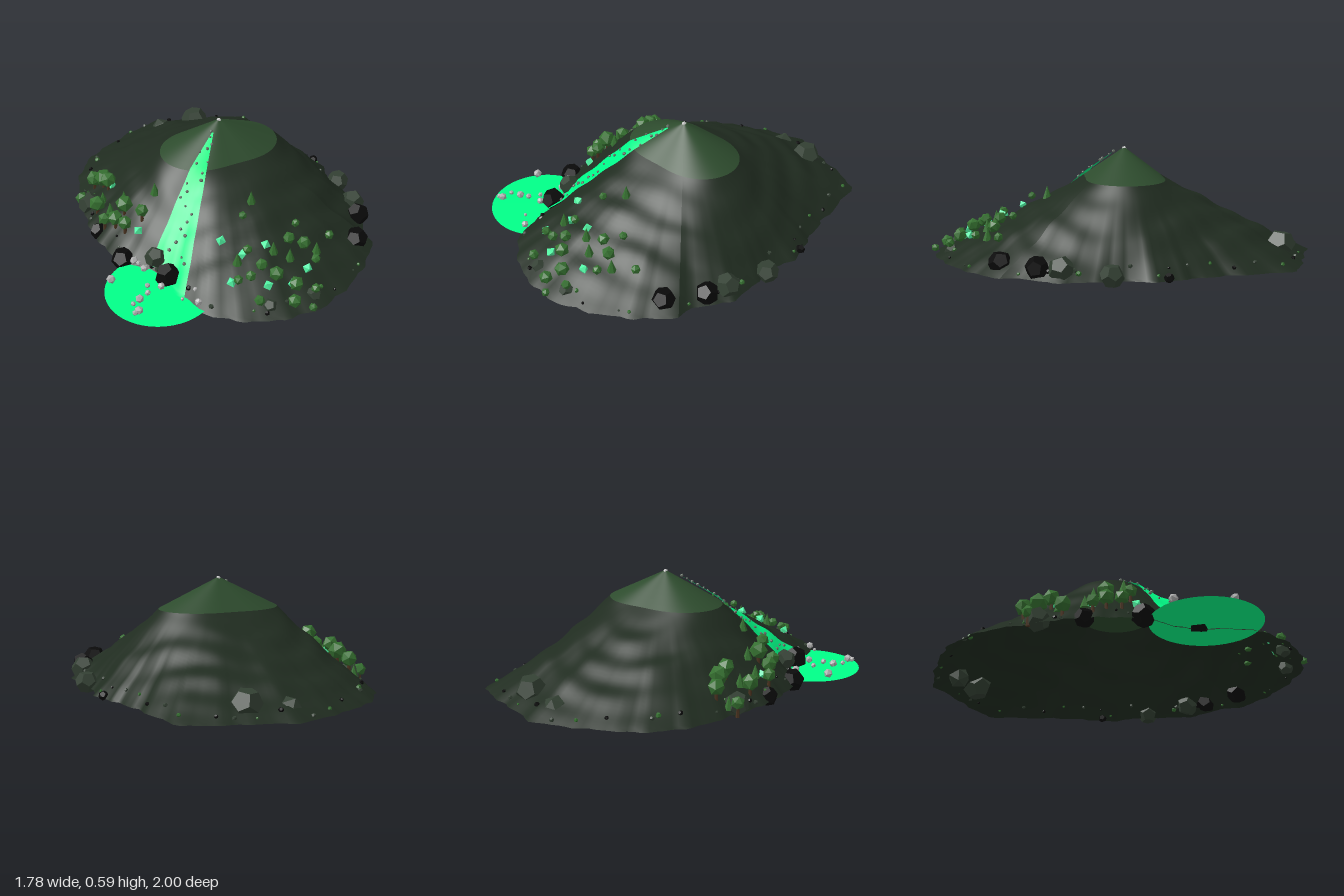
import * as THREE from 'three';

const BASE = 0.045, CAP = 0.44, PEAK = 0.6, CZ = -0.055;

// Foot of the hill, as [x, z]
const FOOT = [[-0.22, -1], [-0.09, -0.92], [0.09, -0.8], [0.24, -0.72], [0.43, -0.63], [0.48, -0.53], [0.61, -0.43],
  [0.75, -0.31], [0.79, -0.13], [0.87, -0.05], [0.88, 0.2], [0.84, 0.4], [0.77, 0.57], [0.68, 0.66], [0.56, 0.75],
  [0.3, 0.81], [0.14, 0.75], [0.04, 0.66], [-0.08, 0.61], [-0.26, 0.6], [-0.44, 0.5], [-0.6, 0.35], [-0.71, 0.2],
  [-0.84, 0], [-0.88, -0.24], [-0.84, -0.39], [-0.79, -0.55], [-0.68, -0.77], [-0.58, -0.8], [-0.39, -0.92]];

// Radius of a closed outline as a function of the angle around the peak
function radial(points) {
  const polar = points.map(([x, z]) => [Math.atan2(z - CZ, x), Math.hypot(x, z - CZ)]).sort((a, b) => a[0] - b[0]);
  const first = polar[0], last = polar[polar.length - 1];
  polar.unshift([last[0] - 2 * Math.PI, last[1]]);
  polar.push([first[0] + 2 * Math.PI, first[1]]);
  return (angle) => {
    const a = Math.atan2(Math.sin(angle), Math.cos(angle));
    let i = 1;
    while (i < polar.length - 1 && polar[i][0] < a) i++;
    const [a0, r0] = polar[i - 1], [a1, r1] = polar[i];
    return THREE.MathUtils.lerp(r0, r1, (a - a0) / (a1 - a0));
  };
}
const footRadius = radial(FOOT);
const footAt = (a) => footRadius(a) * (1 + 0.007 * Math.sin(31 * a) + 0.005 * Math.sin(53 * a + 1));
const softFoot = (a) => [-0.24, -0.12, 0, 0.12, 0.24].reduce((sum, d) => sum + footRadius(a + d) / 5, 0);
const summitRadius = (a) => 0.265 + 0.06 * Math.cos(2 * (a + 0.85));

// Height of the hillside at any point
function heightAt(x, z) {
  const a = Math.atan2(z - CZ, x), r = Math.hypot(x, z - CZ), r1 = summitRadius(a);
  if (r < r1) return PEAK - (PEAK - CAP) * (r / r1);
  const t = Math.min(1, (r - r1) / (footAt(a) - r1));
  const s = Math.min(1, (r - r1) / (THREE.MathUtils.lerp(softFoot(a), footAt(a), t) - r1));
  const bumps = Math.sin(17 * x + 5 * z) * Math.sin(14 * z - 6 * x) + 0.7 * Math.sin(38 * r + 2 * Math.sin(3 * a));
  return CAP - (CAP - BASE) * s + 0.008 * bumps * Math.sin(Math.PI * t);
}

const material = (color, flatShading = true, side = THREE.FrontSide) =>
  new THREE.MeshStandardMaterial({ color, flatShading, side });

// Grid surface from a function (u, v) -> [x, y, z]
function gridSurface(rows, cols, pointAt) {
  const pos = [], idx = [], w = cols + 1;
  for (let i = 0; i <= rows; i++) {
    for (let j = 0; j <= cols; j++) {
      pos.push(...pointAt(i / rows, j / cols));
      if (i < rows && j < cols) {
        const k = i * w + j;
        idx.push(k, k + 1, k + w, k + 1, k + w + 1, k + w);
      }
    }
  }
  const g = new THREE.BufferGeometry();
  g.setAttribute('position', new THREE.Float32BufferAttribute(pos, 3));
  g.setIndex(idx);
  g.computeVertexNormals();
  return g;
}

let seed = 7;
const rand = () => (seed = (seed * 16807) % 2147483647) / 2147483647;

export function createModel() {
  const model = new THREE.Group();
  const add = (name, geo, mat, x = 0, y = 0, z = 0, size = 1, spin = false) => {
    const m = new THREE.Mesh(geo, mat);
    m.name = name;
    m.position.set(x, y, z);
    m.scale.setScalar(size);
    if (spin) m.rotation.set(rand() * 3, rand() * 3, rand() * 3);
    model.add(m);
    return m;
  };

  // Hill: a hollow shell with a lighter summit
  const ring = (inner, outer) => (u, v) => {
    const a = v * Math.PI * 2, r = THREE.MathUtils.lerp(inner(a), outer(a), u);
    const x = r * Math.cos(a), z = CZ + r * Math.sin(a);
    return [x, heightAt(x, z), z];
  };
  add('hillside', gridSurface(36, 160, ring(summitRadius, footAt)), material(0x202c20, false, THREE.DoubleSide));
  add('summit', gridSurface(8, 160, ring(() => 0, summitRadius)), material(0x2d4b2d, false, THREE.DoubleSide));

  // Bright stream widening downhill into a round pool
  const slime = material(0x00ff88, false, THREE.DoubleSide);
  add('stream', gridSurface(48, 12, (u, v) => {
    const side = (v - 0.5) * 2;
    const end = 0.6 + 0.16 * THREE.MathUtils.smoothstep(side, -0.6, 1);
    const z = THREE.MathUtils.lerp(0.03, end, u);
    const x = side * (0.004 + 0.19 * (z - 0.03));
    return [x, heightAt(x, z) + 0.014, z];
  }), slime);
  add('pool', new THREE.CircleGeometry(0.275, 48).rotateX(-Math.PI / 2), slime, 0, 0.052, 0.722);

  // Shared shapes
  const dodeca = new THREE.DodecahedronGeometry(1), icosa = new THREE.IcosahedronGeometry(1), octa = new THREE.OctahedronGeometry(1);
  const cone = new THREE.ConeGeometry(0.5, 1, 6), trunk = new THREE.CylinderGeometry(0.007, 0.01, 1, 6);
  const stone = material(0x334033), coal = material(0x0a0a0a), leaf = material(0x357030);
  const gem = material(0x55ffaa), bark = material(0x4a3320), gravel = material(0xb0b0b0), grit = material(0x667066);

  // Boulders around the foot: [x, y, z, radius]
  [[-0.44, 0.11, -0.75, 0.08], [-0.61, 0.08, -0.63, 0.06], [0.55, 0.075, -0.49, 0.06], [0.69, 0.1, -0.29, 0.065],
    [-0.09, 0.12, 0.58, 0.055], [-0.64, 0.08, 0.24, 0.065], [0.55, 0.07, 0.66, 0.04], [0.72, 0.07, 0.5, 0.04]]
    .forEach(([x, y, z, r], i) => add('boulder', i === 1 ? icosa : dodeca, stone, x, y, z, r, true));
  [[0.75, 0.1, -0.19, 0.06], [0.8, 0.1, 0.02, 0.06], [0.01, 0.09, 0.655, 0.065], [-0.27, 0.065, 0.59, 0.06],
    [-0.49, 0.06, 0.42, 0.05], [0.35, 0.06, -0.67, 0.025]]
    .forEach(([x, y, z, r]) => add('darkBoulder', dodeca, coal, x, y, z, r, true));

  // Round trees on the left of the front slope: [x, z, crown radius]
  [[-0.66, 0.14, 0.045], [-0.59, 0.16, 0.05], [-0.54, 0.2, 0.045], [-0.69, 0.24, 0.035], [-0.55, 0.32, 0.045],
    [-0.35, 0.39, 0.048], [-0.38, 0.44, 0.042], [-0.31, 0.47, 0.038], [-0.23, 0.43, 0.035], [-0.45, 0.43, 0.035]]
    .forEach(([x, z, r]) => {
      const y = heightAt(x, z);
      add('treeTrunk', trunk, bark, x, y + 0.015, z).scale.y = 0.06;
      add('treeCrown', icosa, leaf, x, y + 0.06, z, r, true);
    });

  // Round bushes on the right of the front slope
  [[0.29, 0.35, 0.022], [0.53, 0.23, 0.022], [0.68, 0.35, 0.025], [0.73, 0.5, 0.025], [0.54, 0.54, 0.038],
    [0.64, 0.53, 0.038], [0.66, 0.61, 0.035], [0.51, 0.69, 0.028], [0.38, 0.64, 0.025], [0.43, 0.6, 0.028],
    [0.75, 0.6, 0.022], [0.69, 0.16, 0.025], [0.53, 0.33, 0.032], [0.46, 0.53, 0.032], [0.6, 0.3, 0.035], [0.37, 0.49, 0.025]]
    .forEach(([x, z, r]) => add('bush', icosa, leaf, x, heightAt(x, z) + 0.035, z, r, true));

  // Pointed shrubs
  [[-0.67, 0.2], [-0.45, 0.36], [-0.2, 0.33], [-0.54, 0.27], [-0.38, 0.33], [0.29, 0.23], [0.48, 0.42], [0.56, 0.4], [0.34, 0.55], [0.66, 0.28]]
    .forEach(([x, z]) => add('shrub', cone, leaf, x, heightAt(x, z) + 0.03, z).scale.set(0.05, 0.07, 0.05));

  // Crystals
  [[0.44, 0.42], [0.35, 0.51], [0.62, 0.53], [0.52, 0.6], [0.35, 0.65], [0.23, 0.49], [-0.23, 0.48], [-0.52, 0.2], [0.66, 0.42], [-0.43, 0.4]]
    .forEach(([x, z]) => add('crystal', octa, gem, x, heightAt(x, z) + 0.02, z, 0.027, true));

  // Pebbles floating on the pool: [x, y, z, radius]
  [[-0.24, 0.085, 0.78, 0.024], [-0.05, 0.075, 0.85, 0.022], [-0.01, 0.088, 0.94, 0.022], [-0.03, 0.08, 0.8, 0.016],
    [-0.06, 0.08, 0.9, 0.013], [0.23, 0.09, 0.78, 0.02], [0.18, 0.09, 0.7, 0.013], [-0.2, 0.08, 0.6, 0.022],
    [-0.13, 0.075, 0.63, 0.02], [-0.02, 0.085, 0.96, 0.015], [0.01, 0.08, 0.73, 0.02], [-0.06, 0.07, 0.74, 0.014],
    [0.15, 0.09, 0.79, 0.01], [-0.17, 0.08, 0.61, 0.015]]
    .forEach(([x, y, z, r]) => add('poolPebble', icosa, gravel, x, y, z, r, true));

  // Pebbles carried down the stream
  for (let i = 0; i < 22; i++) {
    const z = 0.03 + 0.6 * (i / 21), x = (rand() - 0.5) * (0.02 + 0.28 * z);
    add('streamPebble', icosa, grit, x, heightAt(x, z) + 0.018, z, 0.006 + rand() * 0.005, true);
  }

  // Small debris scattered along the foot
  for (let i = 0; i < 44; i++) {
    const a = (i + rand()) / 44 * Math.PI * 2, r = footAt(a) * (0.91 + rand() * 0.07);
    const x = r * Math.cos(a), z = CZ + r * Math.sin(a);
    add('debris', dodeca, [coal, leaf, stone][i % 3], x, heightAt(x, z) + 0.004, z, 0.006 + rand() * 0.009, true);
  }

  // Tiny pale bead on the peak
  add('peakBead', icosa, material(0xffffff), 0, PEAK - 0.008, CZ, 0.013);
  return model;
}
